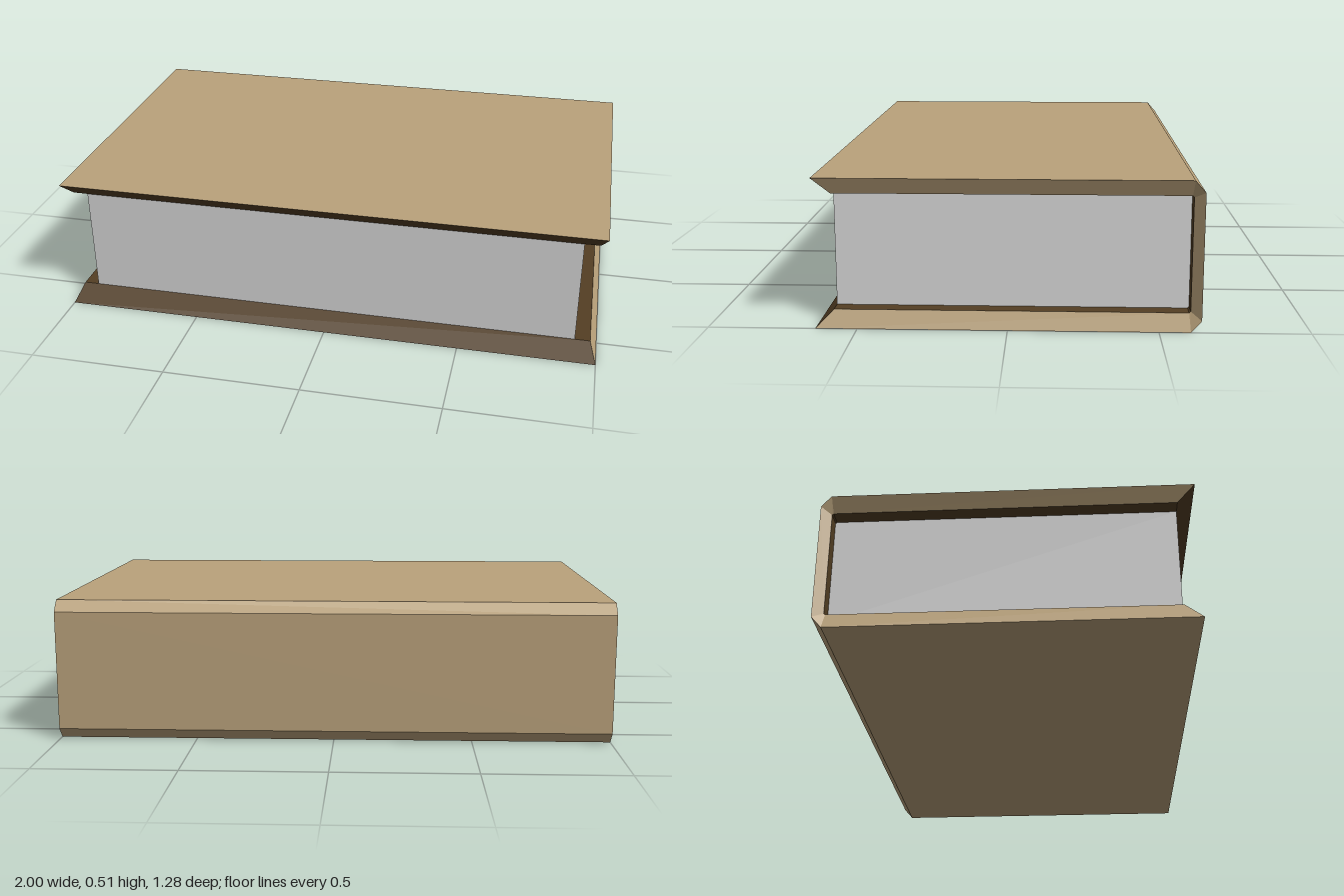
import * as THREE from 'three';

// Cover cross-sections as [z, y], running from the lower front lip round the spine to the upper lip
const OUTER = [[0.64, 0], [-0.605, 0], [-0.64, 0.04], [-0.64, 0.47], [-0.605, 0.51], [0.64, 0.51]];
const INNER = [[0.58, 0.06], [-0.6, 0.06], [-0.605, 0.065], [-0.605, 0.45], [-0.6, 0.455], [0.58, 0.455]];
const OUTER_X = 1, INNER_X = 0.975;

const at = (profile, i, x) => [x, profile[i][1], profile[i][0]];

// Flat-shaded mesh from quads, corners counter-clockwise seen from the front
function quadMesh(name, quads, material) {
  const positions = quads.flatMap(([a, b, c, d]) => [a, b, c, a, c, d].flat());
  const geometry = new THREE.BufferGeometry();
  geometry.setAttribute('position', new THREE.Float32BufferAttribute(positions, 3));
  geometry.computeVertexNormals();
  const mesh = new THREE.Mesh(geometry, material);
  mesh.name = name;
  return mesh;
}

export function createModel() {
  const tan = new THREE.MeshStandardMaterial({ name: 'tan cover', color: 0xbaa27b });
  const brown = new THREE.MeshStandardMaterial({ name: 'dark brown lining', color: 0x543f24 });
  const paper = new THREE.MeshStandardMaterial({ name: 'paper', color: 0xdadada });

  const outside = [], lining = [], edges = [];
  for (let i = 0; i < OUTER.length - 1; i++) {
    const o = (k, side) => at(OUTER, i + k, side * OUTER_X);
    const n = (k, side) => at(INNER, i + k, side * INNER_X);
    outside.push([o(0, -1), o(1, -1), o(1, 1), o(0, 1)]);
    lining.push([n(0, 1), n(1, 1), n(1, -1), n(0, -1)]);
    // bevelled edges at both ends
    edges.push([o(0, 1), o(1, 1), n(1, 1), n(0, 1)]);
    edges.push([n(0, -1), n(1, -1), o(1, -1), o(0, -1)]);
  }

  // bevelled lips along the front of both boards
  const last = OUTER.length - 1;
  const lips = [
    [at(OUTER, 0, -OUTER_X), at(OUTER, 0, OUTER_X), at(INNER, 0, INNER_X), at(INNER, 0, -INNER_X)],
    [at(INNER, last, -INNER_X), at(INNER, last, INNER_X), at(OUTER, last, OUTER_X), at(OUTER, last, -OUTER_X)],
  ];

  const cover = new THREE.Group();
  cover.name = 'cover';
  cover.add(
    quadMesh('coverOutside', outside, tan),
    quadMesh('coverEndEdges', edges, tan),
    quadMesh('coverLining', lining, brown),
    quadMesh('coverFrontLips', lips, brown),
  );

  // page block between the boards
  const pages = new THREE.Mesh(new THREE.BoxGeometry(1.84, 0.395, 1.185), paper);
  pages.name = 'pages';
  pages.position.set(0, 0.2575, -0.0125);

  const book = new THREE.Group();
  book.name = 'book';
  book.add(cover, pages);
  return book;
}
